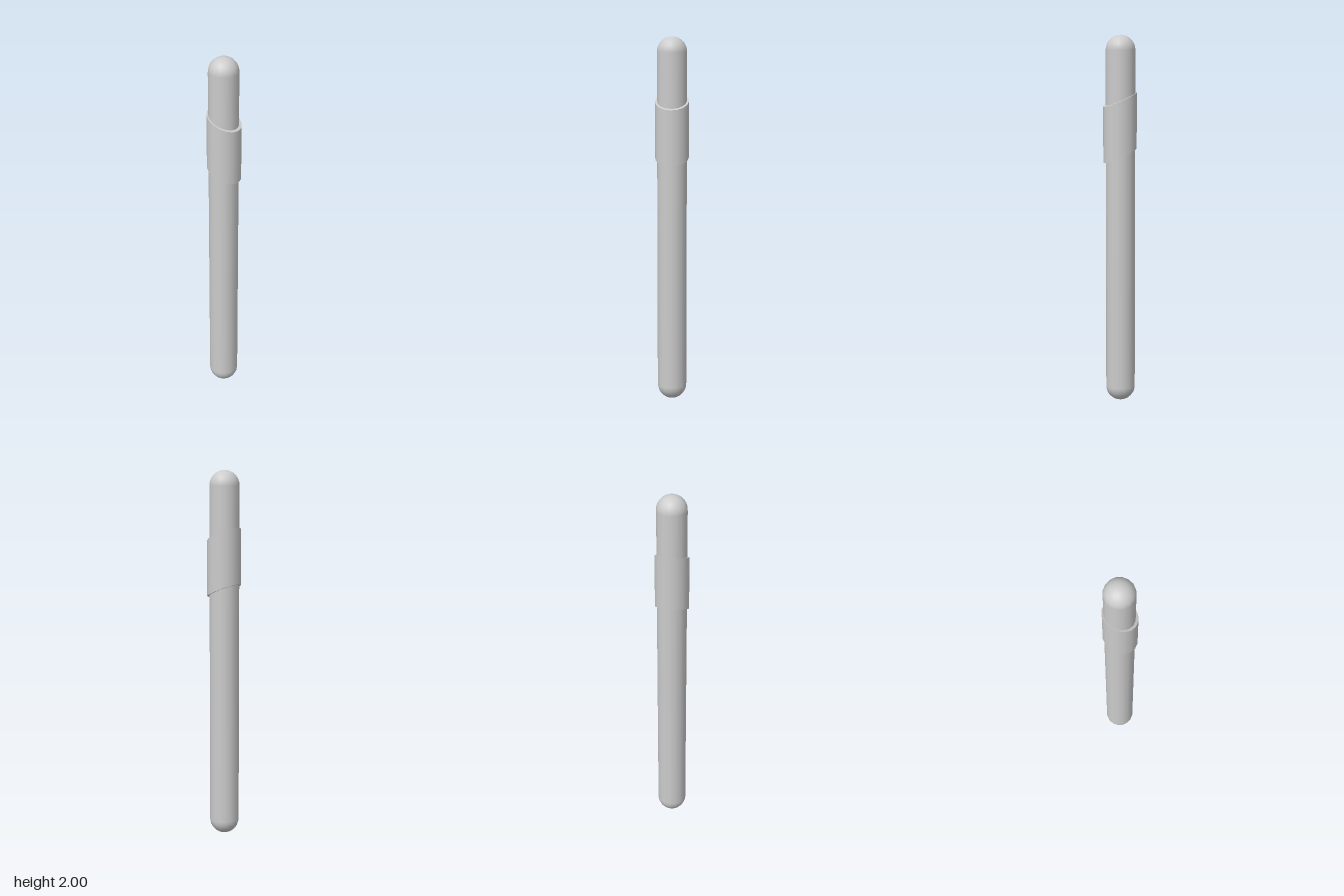
import * as THREE from 'three';

export function createModel() {
  const group = new THREE.Group();
  const material = new THREE.MeshStandardMaterial({ color: 0xcccccc });
  const sides = 16;

  // Long rod with rounded ends
  const rod = new THREE.Mesh(new THREE.CapsuleGeometry(0.08, 1.84, 8, sides), material);
  rod.name = 'rod';
  rod.position.set(-0.003, 1, 0);
  group.add(rod);

  // Collar with parallel slanted ends, lower towards +x
  const collarGeometry = new THREE.CylinderGeometry(0.091, 0.091, 0.3, sides);
  collarGeometry.applyMatrix4(new THREE.Matrix4().makeShear(-0.44, 0, 0, 0, 0, 0));
  const collar = new THREE.Mesh(collarGeometry, material);
  collar.name = 'collar';
  collar.position.y = 1.51;
  group.add(collar);

  return group;
}
